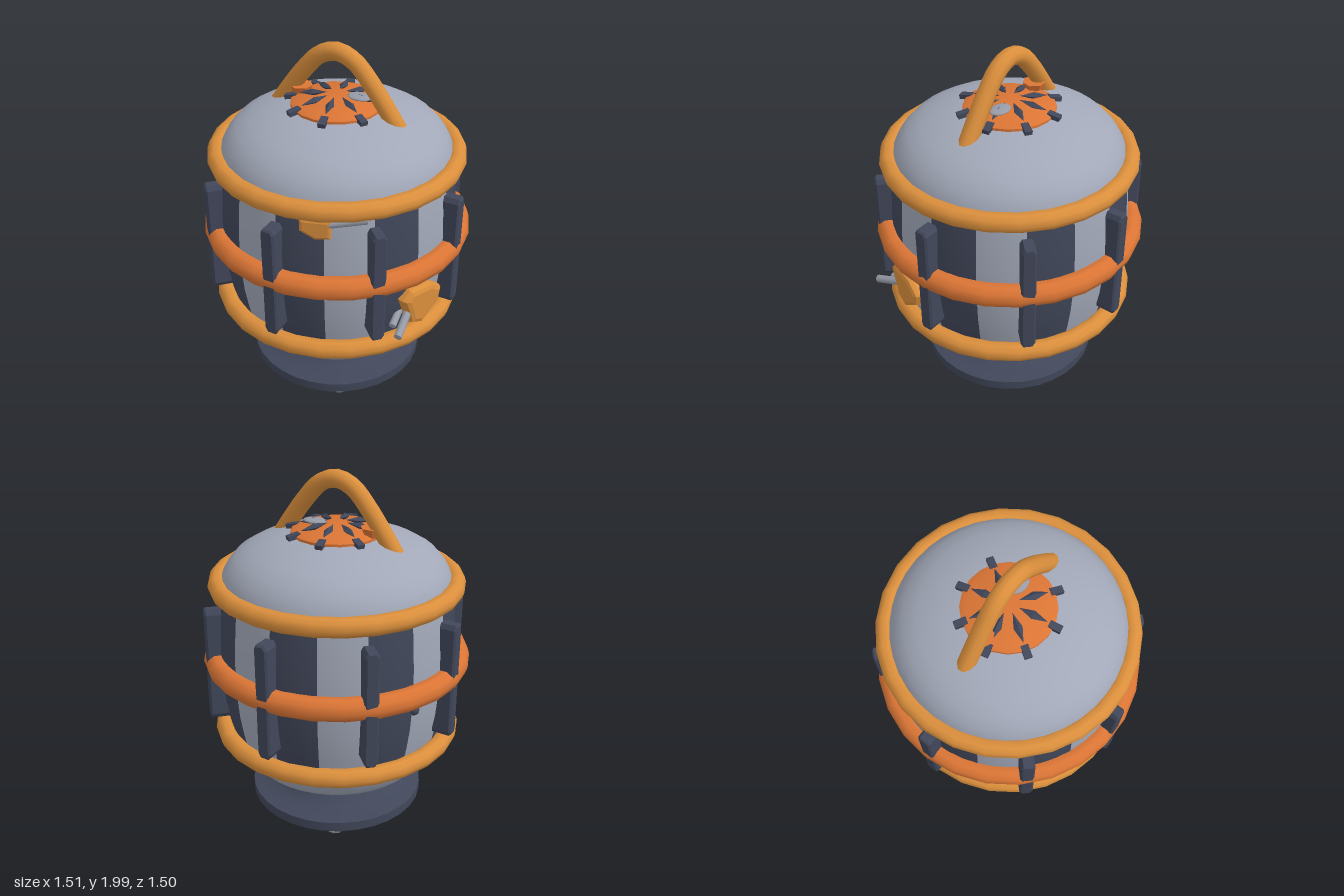
import * as THREE from 'three';
import { toCreasedNormals } from 'three/addons/utils/BufferGeometryUtils.js';

const mat = (name, color, side = THREE.FrontSide) => {
  const m = new THREE.MeshStandardMaterial({ color, side });
  m.name = name;
  return m;
};

export function createModel() {
  const grey = mat('pale steel', 0xa2a8b8);
  const dark = mat('dark slate', 0x41475a);
  const amber = mat('amber', 0xdb8f3c);
  const orange = mat('burnt orange', 0xdb7535);
  const metal = mat('rod metal', 0x979ca8);
  const root = new THREE.Group();
  root.name = 'barrelCanister';

  const add = (name, geo, material, parent = root) => {
    const m = new THREE.Mesh(geo, material);
    m.name = name;
    parent.add(m);
    return m;
  };
  const points = (list) => list.map(([x, y]) => new THREE.Vector2(x, y));
  const lathe = (list, segs = 32, start = 0, length = Math.PI * 2) =>
    new THREE.LatheGeometry(points(list), segs, start, length);
  // Group turned so its local +z points outward at the given angle
  const spoke = (name, angle) => {
    const g = new THREE.Group();
    g.name = name;
    g.rotation.y = angle;
    root.add(g);
    return g;
  };
  const rod = (name, a, b, radius, material) => {
    const from = new THREE.Vector3(...a), to = new THREE.Vector3(...b);
    const dir = to.clone().sub(from);
    const m = add(name, new THREE.CylinderGeometry(radius, radius, dir.length(), 8), material);
    m.position.copy(from).add(to).multiplyScalar(0.5);
    m.quaternion.setFromUnitVectors(new THREE.Vector3(0, 1, 0), dir.normalize());
  };

  // Pedestal: disc foot and tapered neck
  add('pedestal', toCreasedNormals(lathe([
    [0, 0.035], [0.495, 0.035], [0.505, 0.045], [0.505, 0.1], [0.46, 0.112],
    [0.385, 0.13], [0.355, 0.155], [0.25, 0.275], [0.22, 0.3],
  ]), 0.6), dark);

  // Six ring-shaped bolts under the foot
  for (let i = 0; i < 6; i++) {
    const a = (i * Math.PI) / 3;
    const bolt = new THREE.Group();
    bolt.name = 'footBolt';
    bolt.position.set(Math.cos(a) * 0.42, 0.024, Math.sin(a) * 0.42);
    root.add(bolt);
    const ring = add('boltRing', new THREE.TorusGeometry(0.041, 0.023, 6, 10), metal, bolt);
    ring.rotation.x = Math.PI / 2;
    add('boltPin', new THREE.SphereGeometry(0.014, 8, 6), metal, bolt);
  }

  // Lower bowl and domed lid
  add('lowerBowl', lathe([
    [0, 0.268], [0.42, 0.268], [0.465, 0.275], [0.505, 0.293], [0.54, 0.33],
    [0.565, 0.38], [0.59, 0.44], [0.615, 0.51],
  ], 40), grey);
  add('domedLid', lathe([
    [0.64, 1.38], [0.63, 1.43], [0.6, 1.485], [0.55, 1.54], [0.475, 1.585],
    [0.385, 1.62], [0.28, 1.65], [0.15, 1.668], [0, 1.672],
  ], 40), grey);

  // Sixteen staves in alternating colours
  const staveProfile = [
    [0.612, 0.5], [0.634, 0.6], [0.655, 0.72], [0.667, 0.85], [0.671, 0.96],
    [0.668, 1.08], [0.66, 1.2], [0.65, 1.31], [0.637, 1.39],
  ];
  const step = Math.PI / 8;
  for (let i = 0; i < 16; i++) {
    add('stave', lathe(staveProfile, 3, i * step, step), i % 2 ? grey : dark);
  }

  // Hoops
  const hoop = (name, y, radius, tube, material) => {
    const m = add(name, new THREE.TorusGeometry(radius, tube, 10, 26), material);
    m.rotation.x = Math.PI / 2;
    m.position.y = y;
  };
  hoop('upperHoop', 1.385, 0.659, 0.053, amber);
  hoop('lowerHoop', 0.507, 0.659, 0.053, amber);
  hoop('middleHoop', 0.945, 0.692, 0.065, orange);

  // Eight upright ribs with chamfered ends
  const finShape = new THREE.Shape(points([
    [-0.024, 0.612], [0.024, 0.612], [0.039, 0.64], [0.039, 1.25],
    [0.024, 1.276], [-0.024, 1.276], [-0.039, 1.25], [-0.039, 0.64],
  ]));
  const finGeo = new THREE.ExtrudeGeometry(finShape, {
    depth: 0.125, bevelThickness: 0.01, bevelSize: 0.01, bevelOffset: -0.01, bevelSegments: 1,
  });
  for (let i = 0; i < 8; i++) {
    add('rib', finGeo, dark, spoke('ribMount', (i * Math.PI) / 4)).position.z = 0.61;
  }

  // Arched carrying handle
  const arch = new THREE.CatmullRomCurve3([
    [-0.37, 1.575], [-0.29, 1.69], [-0.2, 1.81], [-0.1, 1.915], [0, 1.95],
    [0.1, 1.915], [0.2, 1.81], [0.29, 1.69], [0.37, 1.575],
  ].map(([x, y]) => new THREE.Vector3(x, y, 0)));
  add('handle', new THREE.TubeGeometry(arch, 24, 0.05, 10), amber);

  // Lid medallion with petals and rim tabs
  add('medallion', toCreasedNormals(lathe([
    [0.25, 1.64], [0.25, 1.668], [0.22, 1.683], [0, 1.695],
  ], 20), 0.5), orange);
  const petalGeo = new THREE.OctahedronGeometry(1);
  petalGeo.scale(0.024, 0.02, 0.08);
  const tabGeo = new THREE.BoxGeometry(0.04, 0.03, 0.07);
  for (let i = 0; i < 8; i++) {
    const g = spoke('medallionSpoke', 0.21 + (i * Math.PI) / 4);
    const petal = add('petal', petalGeo, dark, g);
    petal.position.set(0, 1.702, 0.135);
    petal.rotation.x = 0.15;
    const tab = add('rimTab', tabGeo, dark, g);
    tab.position.set(0, 1.664, 0.255);
    tab.rotation.x = 0.2;
  }
  const cap = add('lidCap', new THREE.SphereGeometry(1, 12, 8), metal);
  cap.scale.set(0.07, 0.012, 0.05);
  cap.position.set(0.12, 1.708, -0.03);
  const knob = add('lidKnob', toCreasedNormals(new THREE.CylinderGeometry(0.065, 0.045, 0.05, 7), 0.4), orange);
  knob.position.set(-0.22, 1.694, 0);

  // Faceted side lumps with protruding rods
  const lump = (name, angle, radius, depth, bevel, outline) => {
    const geo = new THREE.ExtrudeGeometry(new THREE.Shape(points(outline)), {
      depth, bevelThickness: bevel, bevelSize: bevel, bevelOffset: -bevel, bevelSegments: 2,
    });
    add(name, geo, amber, spoke(name + 'Mount', angle)).position.z = radius;
  };
  lump('sideLump', 1.25, 0.6, 0.075, 0.03, [
    [-0.16, 0.785], [-0.12, 0.68], [-0.105, 0.62], [-0.02, 0.58],
    [0.115, 0.68], [0.13, 0.755], [0.05, 0.815], [-0.11, 0.835],
  ]);
  lump('frontLump', 0.32, 0.59, 0.055, 0.018, [
    [-0.08, 1.26], [0, 1.215], [0.085, 1.225], [0.085, 1.335], [-0.08, 1.335],
  ]);
  rod('sideRod', [0.6, 0.695, 0.3], [0.62, 0.64, 0.48], 0.022, metal);
  rod('sideRodInner', [0.55, 0.69, 0.3], [0.56, 0.65, 0.42], 0.02, metal);
  rod('frontRod', [0.26, 1.305, 0.59], [0.44, 1.335, 0.5], 0.022, metal);

  // Small dark stud on the flank
  const stud = add('flankStud', new THREE.SphereGeometry(0.03, 8, 6), dark);
  stud.position.set(-0.62, 0.85, -0.24);

  return root;
}
